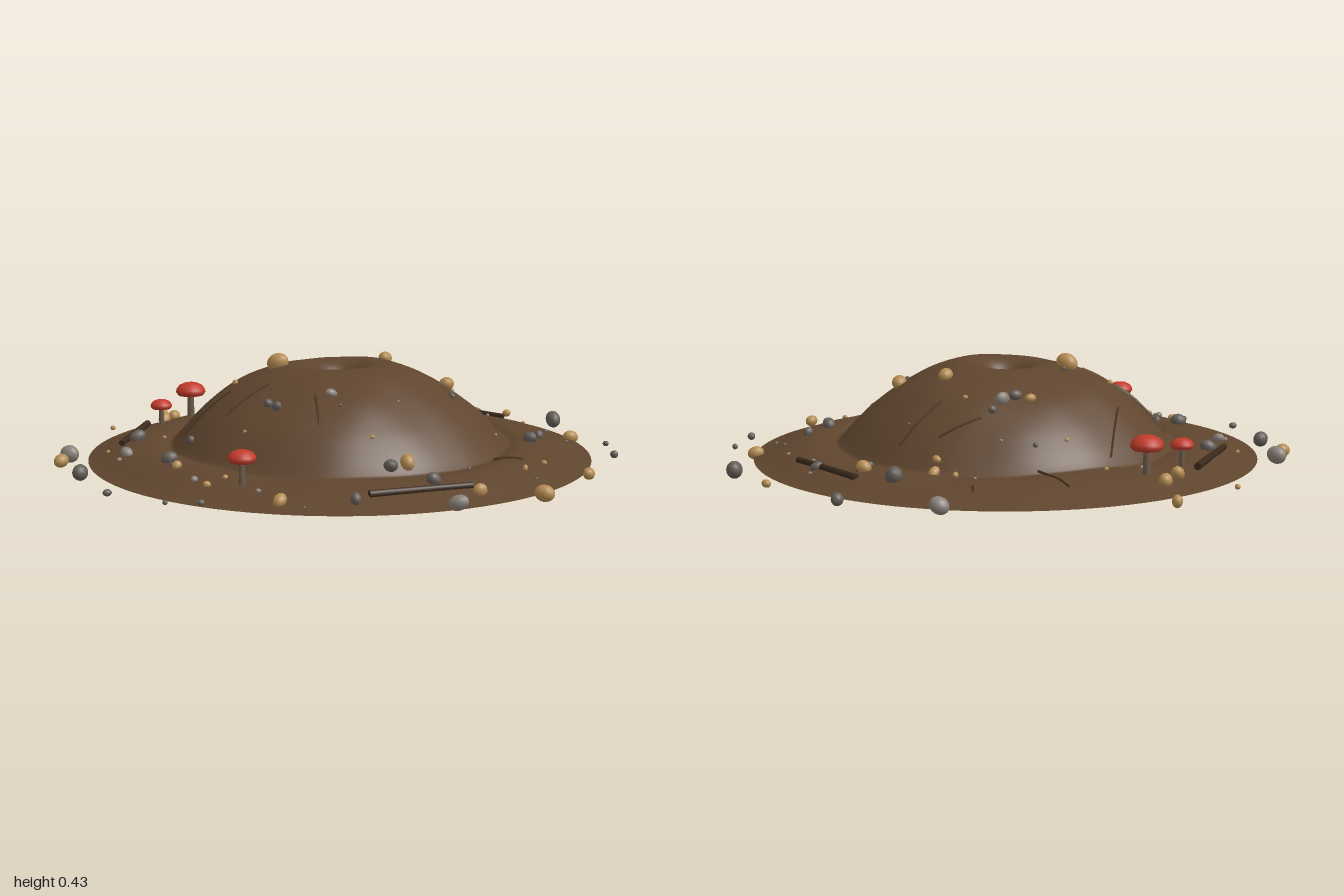
import * as THREE from 'three';
import { mergeVertices } from 'three/addons/utils/BufferGeometryUtils.js';

const CX = 0.013, CZ = -0.005;

const material = (name, color, side = THREE.FrontSide) => {
  const m = new THREE.MeshStandardMaterial({ color, side });
  m.name = name;
  return m;
};

// Mound profile: radius, height
const profile = new THREE.SplineCurve([
  [0, 0.25], [0.03, 0.3], [0.065, 0.355], [0.11, 0.385], [0.17, 0.391], [0.24, 0.374],
  [0.32, 0.342], [0.4, 0.297], [0.48, 0.235], [0.54, 0.175], [0.585, 0.123], [0.605, 0.109],
  [0.64, 0.116], [0.7, 0.116], [0.78, 0.099], [0.85, 0.075], [0.893, 0.064],
].map(([r, y]) => new THREE.Vector2(r, y))).getPoints(80);

const lumps = (x, z) => {
  const r = Math.hypot(x, z);
  const fade = Math.min(1, r / 0.2) * Math.max(0, Math.min(1, (0.89 - r) / 0.25));
  return fade * 0.004 * (Math.sin(x * 11 + z * 5) + Math.sin(z * 13 - x * 6 + 1) + 0.6 * Math.sin(x * 23 + 2) * Math.sin(z * 21));
};

// Ground height at any point
function heightAt(x, z) {
  const dx = x - CX, dz = z - CZ, r = Math.hypot(dx, dz);
  const i = profile.findIndex((p) => p.x >= r);
  if (i < 0) return 0.068;
  if (i === 0) return profile[0].y;
  const a = profile[i - 1], b = profile[i];
  return a.y + (b.y - a.y) * (r - a.x) / (b.x - a.x) + lumps(dx, dz);
}

// Thin rod between two points
function rod(name, a, b, radius, mat, sides = 8) {
  const dir = b.clone().sub(a);
  const mesh = new THREE.Mesh(new THREE.CylinderGeometry(radius * 0.85, radius, dir.length(), sides), mat);
  mesh.position.copy(a).add(b).multiplyScalar(0.5);
  mesh.quaternion.setFromUnitVectors(new THREE.Vector3(0, 1, 0), dir.normalize());
  mesh.name = name;
  return mesh;
}

export function createModel() {
  const model = new THREE.Group();
  model.name = 'earthMound';
  let seed = 7;
  const rand = () => (seed = (seed * 16807) % 2147483647) / 2147483647;

  const soil = material('soil', 0x5f452e, THREE.DoubleSide);
  const wood = material('signWood', 0x8b5a38);
  const bark = material('bark', 0x3b2a1c);
  const twigWood = material('twig', 0x4e3520);
  const red = material('capRed', 0xc23a2c);
  const stem = material('mushroomStem', 0x6b5a4a);
  const tan = material('tanStone', 0xb48c52);
  const grey = material('greyStone', 0x645d58);
  const pale = material('paleStone', 0x8a817a);

  // Mound shell, hollow underneath
  let shell = new THREE.LatheGeometry(profile, 96);
  shell.deleteAttribute('uv');
  shell.deleteAttribute('normal');
  const p = shell.attributes.position;
  for (let i = 0; i < p.count; i++) p.setY(i, p.getY(i) + lumps(p.getX(i), p.getZ(i)));
  shell = mergeVertices(shell, 1e-5);
  shell.computeVertexNormals();
  const mound = new THREE.Mesh(shell, soil);
  mound.position.set(CX, 0, CZ);
  mound.name = 'mound';
  model.add(mound);

  // Buried sign: board with two thin posts
  const sign = new THREE.Group();
  sign.name = 'buriedSign';
  const board = new THREE.Mesh(new THREE.BoxGeometry(0.45, 0.11, 0.016), wood);
  board.position.set(0.015, 0.058, 0);
  board.name = 'board';
  sign.add(board);
  for (const x of [-0.17, 0.2]) {
    sign.add(rod('post', new THREE.Vector3(x, 0.1, 0), new THREE.Vector3(x, 0.19, 0), 0.007, bark));
  }
  const edge = rod('boardEdge', new THREE.Vector3(-0.21, 0.01, 0), new THREE.Vector3(0.24, 0.01, 0), 0.01, wood);
  sign.add(edge);
  model.add(sign);

  // Logs lying on the outer ring
  for (const [x1, z1, x2, z2] of [
    [-0.6, -0.49, -0.745, -0.17], [0.535, -0.575, 0.735, -0.285], [-0.1, 0.765, 0.255, 0.735],
  ]) {
    const y = 0.004 + Math.max(heightAt(x1, z1), heightAt(x2, z2), heightAt((x1 + x2) / 2, (z1 + z2) / 2));
    const h = Math.min(y, 0.112);
    model.add(rod('log', new THREE.Vector3(x1, h, z1), new THREE.Vector3(x2, h, z2), 0.013, bark, 10));
  }

  // Twigs hugging the slope
  for (const [x1, z1, x2, z2] of [
    [-0.31, -0.48, -0.36, -0.25], [-0.15, -0.75, -0.06, -0.59], [0.12, -0.43, 0.26, -0.45],
    [0.25, -0.32, 0.39, -0.4], [-0.55, -0.06, -0.36, -0.09], [-0.54, -0.04, -0.38, -0.02],
    [-0.43, 0.13, -0.27, 0.1], [-0.17, 0.41, -0.15, 0.28], [0.53, -0.52, 0.53, -0.4],
    [0.44, 0.42, 0.53, 0.47], [0.16, -0.78, 0.16, -0.73],
  ]) {
    const pts = [0, 0.33, 0.67, 1].map((t) => {
      const x = x1 + (x2 - x1) * t, z = z1 + (z2 - z1) * t;
      return new THREE.Vector3(x, heightAt(x, z) + 0.002, z);
    });
    const twig = new THREE.Mesh(new THREE.TubeGeometry(new THREE.CatmullRomCurve3(pts), 8, 0.0045, 5), twigWood);
    twig.name = 'twig';
    model.add(twig);
  }

  // Mushrooms: stem and domed cap
  const capShape = new THREE.LatheGeometry([
    [0, -0.32], [0.5, -0.38], [0.85, -0.3], [1, -0.08], [0.96, 0.12], [0.78, 0.36], [0.45, 0.52], [0, 0.58],
  ].map(([r, y]) => new THREE.Vector2(r, y)), 24);
  for (const [x, z, r, y] of [[-0.415, -0.595, 0.056, 0.208], [-0.55, -0.47, 0.04, 0.181], [-0.463, 0.543, 0.047, 0.196]]) {
    const mushroom = new THREE.Group();
    mushroom.name = 'mushroom';
    const cap = new THREE.Mesh(capShape, red);
    cap.scale.setScalar(r);
    cap.position.set(x, y, z);
    cap.name = 'mushroomCap';
    mushroom.add(cap);
    mushroom.add(rod('stem', new THREE.Vector3(x, heightAt(x, z) - 0.01, z), new THREE.Vector3(x, y, z), r * 0.24, stem, 12));
    model.add(mushroom);
  }

  // Stones: x, z, radius
  const stoneShape = new THREE.SphereGeometry(1, 14, 10);
  const addStone = (x, z, r, mat) => {
    const stone = new THREE.Mesh(stoneShape, mat);
    stone.scale.set(r * (0.95 + rand() * 0.2), r * (0.75 + rand() * 0.25), r * (0.75 + rand() * 0.15));
    stone.rotation.set(rand() - 0.5, rand() * 6.28, rand() - 0.5);
    stone.position.set(x, heightAt(x, z) + r * 0.35, z);
    stone.name = 'stone';
    model.add(stone);
  };
  const tanStones = [
    [-0.48, -0.84, 0.022], [-0.47, -0.65, 0.026], [-0.52, -0.58, 0.028], [-0.97, -0.09, 0.027],
    [-0.2, -0.06, 0.036], [0.23, -0.17, 0.028], [0.39, 0.06, 0.03], [0.51, -0.5, 0.028],
    [0.28, -0.56, 0.022], [0.27, -0.51, 0.016], [0.83, -0.5, 0.016], [0.9, -0.01, 0.026],
    [-0.05, -0.36, 0.018], [-0.63, 0.29, 0.018], [-0.57, 0.5, 0.014], [-0.38, 0.72, 0.026],
    [0.09, 0.56, 0.027], [0.73, 0.57, 0.026], [0.48, 0.8, 0.032], [0.27, 0.77, 0.024],
    [0.5, 0.57, 0.012], [0.21, -0.57, 0.012], [-0.71, -0.63, 0.01], [-0.35, -0.08, 0.011],
  ];
  const greyStones = [
    [0.41, -0.63, 0.032], [0.59, -0.75, 0.023], [0.95, -0.31, 0.034], [-0.68, -0.22, 0.028],
    [-0.93, 0.11, 0.029], [-0.64, 0.21, 0.028], [-0.88, 0.4, 0.015], [0.65, 0.22, 0.026],
    [0.72, 0.13, 0.021], [0.94, 0.3, 0.015], [0.03, 0.57, 0.028], [0.14, 0.69, 0.029],
    [-0.15, 0.79, 0.023], [-0.3, 0.22, 0.018], [-0.28, 0.26, 0.02], [-0.54, 0.07, 0.016],
    [0, -0.35, 0.024], [0.67, -0.4, 0.02], [0.36, 0.21, 0.014], [0.08, -0.41, 0.015],
    [-0.61, 0.61, 0.013], [0.985, 0.12, 0.011], [-0.72, 0.57, 0.009], [0.49, -0.42, 0.012],
  ];
  const paleStones = [
    [0.27, -0.87, 0.034], [-0.93, -0.18, 0.034], [0.17, 0.85, 0.031], [-0.75, -0.02, 0.023],
    [-0.1, 0.3, 0.02], [-0.6, 0.44, 0.014], [0.045, -0.37, 0.026],
  ];
  for (const [list, mat] of [[tanStones, tan], [greyStones, grey], [paleStones, pale]]) {
    for (const [x, z, r] of list) addStone(x, z, r, mat);
  }
  // Tiny scattered pebbles
  for (let i = 0; i < 30; i++) {
    const a = i * 2.4, d = 0.2 + 0.65 * Math.sqrt(rand());
    addStone(CX + Math.cos(a) * d, CZ + Math.sin(a) * d, 0.006 + rand() * 0.004, [grey, tan, pale][i % 3]);
  }
  return model;
}
